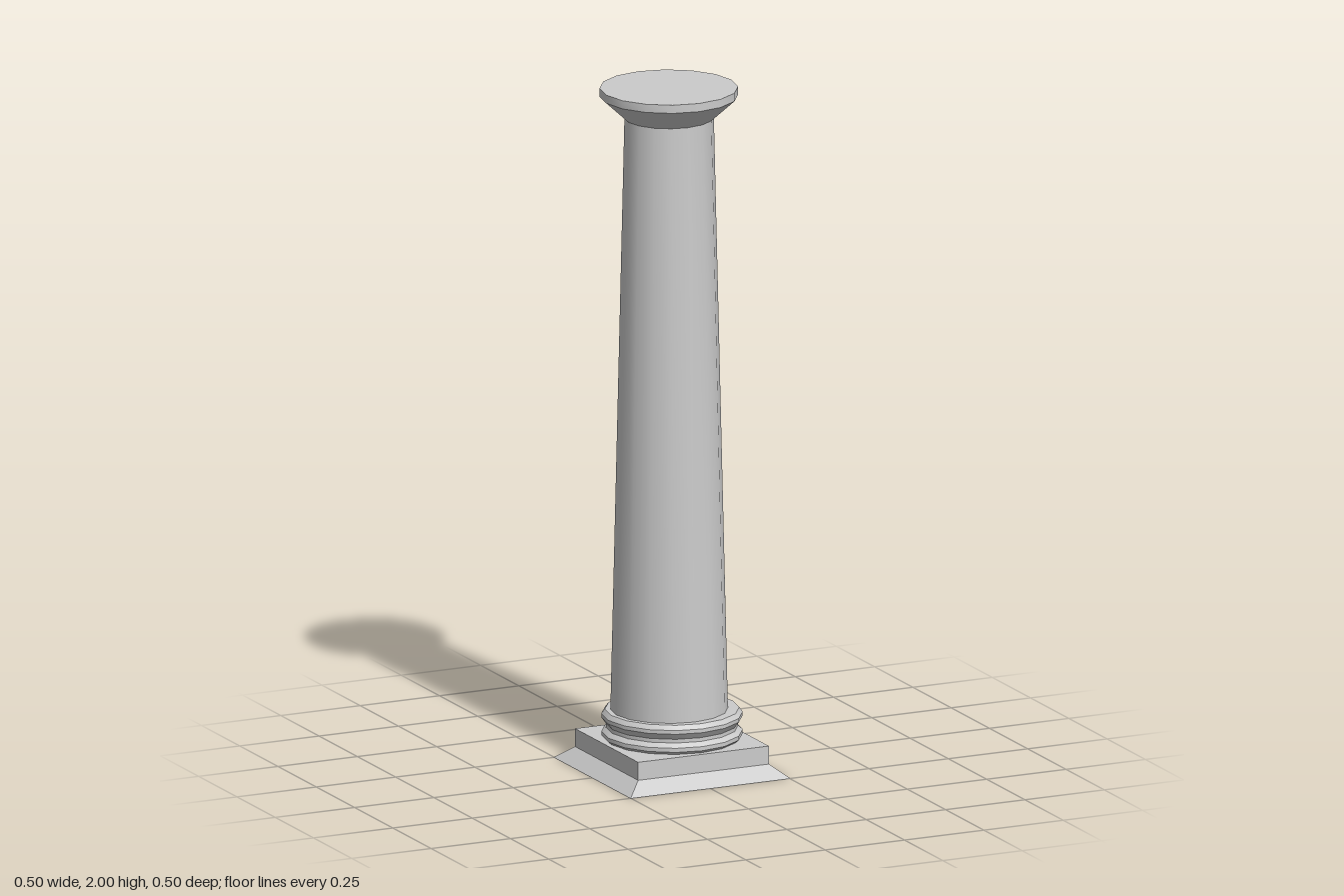
import * as THREE from 'three';
import { toCreasedNormals } from 'three/addons/utils/BufferGeometryUtils.js';

const SIDES = 16;
const material = new THREE.MeshStandardMaterial({ color: 0xcccccc });

// Turned part from [radius, height] pairs listed bottom to top
function turned(name, profile, x = 0) {
  const points = profile.map(([r, y]) => new THREE.Vector2(r, y));
  const geometry = toCreasedNormals(new THREE.LatheGeometry(points, SIDES), 0.5);
  const mesh = new THREE.Mesh(geometry, material);
  mesh.name = name;
  mesh.position.x = x;
  return mesh;
}

// Square block with separate bottom and top half-widths
function squareBlock(name, bottom, top, y0, y1) {
  const geometry = new THREE.CylinderGeometry(top * Math.SQRT2, bottom * Math.SQRT2, y1 - y0, 4)
    .rotateY(Math.PI / 4)
    .translate(0, (y0 + y1) / 2, 0);
  const mesh = new THREE.Mesh(toCreasedNormals(geometry, 0.5), material);
  mesh.name = name;
  return mesh;
}

export function createModel() {
  const column = new THREE.Group();
  column.name = 'column';

  // Square foot
  column.add(squareBlock('flaredFoot', 0.252, 0.206, 0, 0.037));
  column.add(squareBlock('plinth', 0.206, 0.206, 0.037, 0.09));

  // Two rounded rings with a groove between them
  column.add(turned('baseRings', [
    [0, 0.09], [0.19, 0.09], [0.201, 0.099], [0.201, 0.111], [0.188, 0.123],
    [0.188, 0.134], [0.201, 0.152], [0.201, 0.163], [0.191, 0.176], [0, 0.176],
  ]));

  // Tapered shaft, set slightly off the centre of the foot
  column.add(turned('shaft', [[0.167, 0.176], [0.127, 1.915]], -0.009));

  // Flared capital with a thin upright rim
  column.add(turned('capital', [
    [0, 1.912], [0.127, 1.912], [0.197, 1.976], [0.197, 2], [0, 2],
  ], -0.01));

  return column;
}
